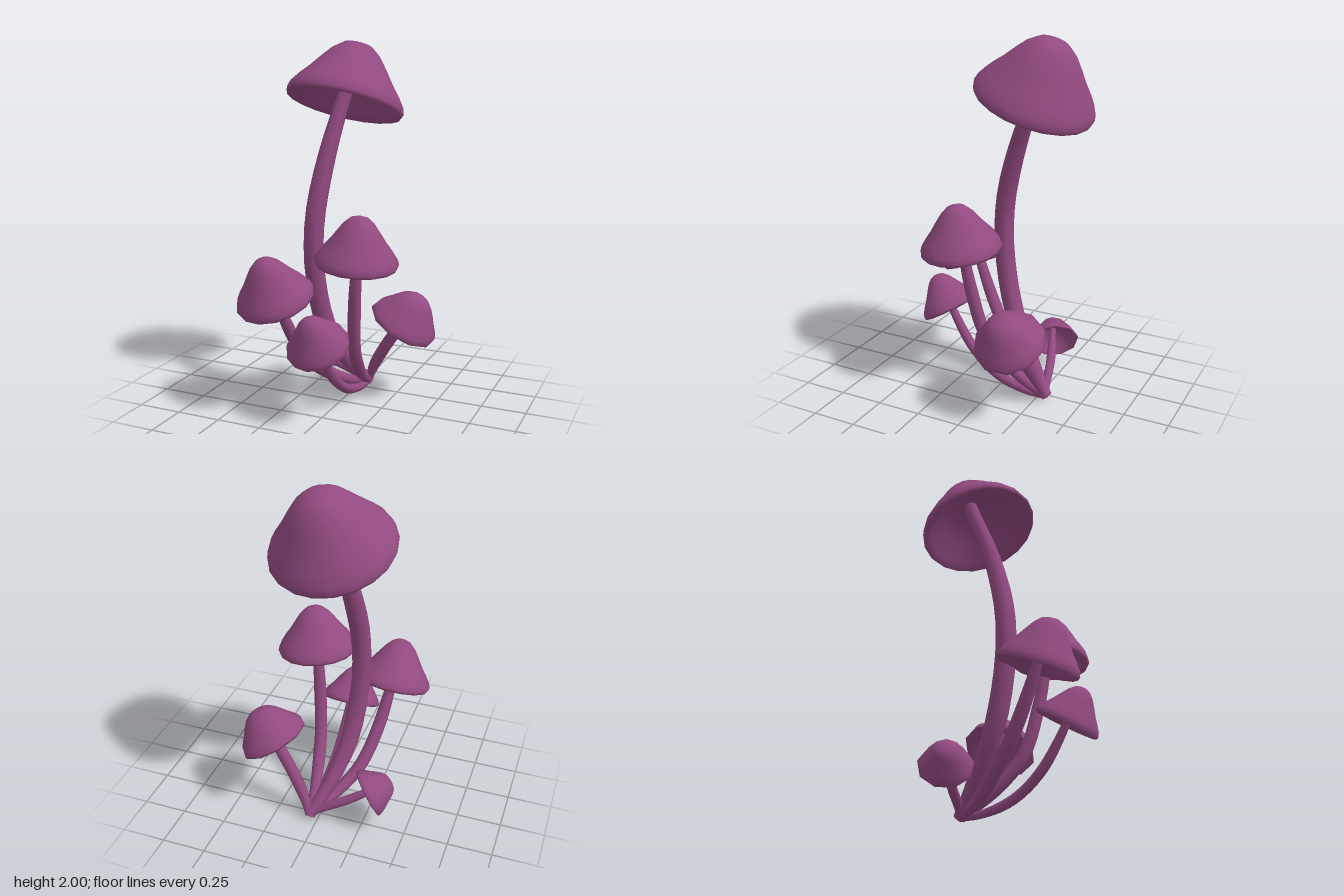
import * as THREE from 'three';

const V = (p) => new THREE.Vector3(...p);
const ROOT = [0.05, 0.032, -0.305];

// Bell profile: [radius, height] fractions, from the inner hollow around the lip to the apex
const BELL = [
  [0, 0.62], [0.3, 0.54], [0.6, 0.31], [0.85, 0.08], [0.97, -0.03],
  [1, 0.03], [0.96, 0.14], [0.84, 0.29], [0.69, 0.45], [0.54, 0.64], [0.39, 0.82], [0.23, 0.95], [0.1, 0.99], [0, 1],
];

// Stem thickness: narrow at the root, full in the middle, slimmer under the cap
function stemRadius(u, full) {
  const root = 0.65 + 0.35 * THREE.MathUtils.smoothstep(u, 0, 0.3);
  const top = 1 - 0.3 * THREE.MathUtils.smoothstep(u, 0.6, 1);
  return full * root * top;
}

// Tube along a curve, each ring scaled to the stem thickness
function stemGeometry(points, full, steps = 20, sides = 8) {
  const curve = new THREE.CatmullRomCurve3(points);
  const geo = new THREE.TubeGeometry(curve, steps, 1, sides, false);
  const pos = geo.attributes.position;
  const p = new THREE.Vector3();
  for (let n = 0; n < pos.count; n++) {
    const u = Math.floor(n / (sides + 1)) / steps;
    const centre = curve.getPointAt(u);
    p.fromBufferAttribute(pos, n).sub(centre).multiplyScalar(stemRadius(u, full)).add(centre);
    pos.setXYZ(n, p.x, p.y, p.z);
  }
  geo.computeBoundingSphere();
  return geo;
}

// Cap from its rim centre along a tilted axis, and a stem bending from the root into the cap.
// A taper below 1 gives a rounder dome.
function mushroom(name, material, { rim, axis, radius, height, taper = 1, sides, stem, bends }) {
  const group = new THREE.Group();
  group.name = name;
  const up = V(axis).normalize();

  const profile = BELL.map(([r, h]) => new THREE.Vector2(r ** taper * radius, h * height));
  const cap = new THREE.Mesh(new THREE.LatheGeometry(profile, sides), material);
  cap.name = 'cap';
  cap.position.set(...rim);
  cap.quaternion.setFromUnitVectors(new THREE.Vector3(0, 1, 0), up);

  const stemTop = V(rim).addScaledVector(up, height * 0.58);
  const stalk = new THREE.Mesh(stemGeometry([V(ROOT), ...bends.map(V), stemTop], stem), material);
  stalk.name = 'stem';

  group.add(cap, stalk);
  return group;
}

export function createModel() {
  const model = new THREE.Group();
  model.name = 'mushroomCluster';
  const plum = new THREE.MeshStandardMaterial({ color: 0x924a80, side: THREE.DoubleSide });
  plum.name = 'plum';

  model.add(mushroom('tallMushroom', plum, {
    rim: [-0.05, 1.665, -0.167], axis: [0.1, 1, -0.38], radius: 0.33, height: 0.35, taper: 0.9, sides: 20, stem: 0.056,
    bends: [[-0.02, 0.16, -0.2], [-0.1, 0.42, -0.04], [-0.135, 0.75, 0.04], [-0.135, 1.05, 0.04], [-0.1, 1.4, -0.05]],
  }));
  model.add(mushroom('middleMushroom', plum, {
    rim: [0.16, 0.865, 0.157], axis: [0.1, 1, 0.07], radius: 0.224, height: 0.258, sides: 16, stem: 0.037,
    bends: [[0.065, 0.12, -0.16], [0.1, 0.33, 0.03], [0.13, 0.6, 0.11]],
  }));
  model.add(mushroom('rightMushroom', plum, {
    rim: [-0.258, 0.65, 0.277], axis: [-0.1, 0.94, 0.36], radius: 0.216, height: 0.258, sides: 14, stem: 0.037,
    bends: [[-0.04, 0.08, -0.16], [-0.15, 0.2, 0], [-0.215, 0.4, 0.15]],
  }));
  model.add(mushroom('frontMushroom', plum, {
    rim: [0.01, 0.435, 0.315], axis: [-0.04, 0.86, 0.5], radius: 0.172, height: 0.205, sides: 14, stem: 0.028,
    bends: [[0.05, 0.035, -0.2], [0.04, 0.09, 0], [0.025, 0.22, 0.17]],
  }));
  model.add(mushroom('leftMushroom', plum, {
    rim: [0.295, 0.445, -0.203], axis: [0.5, 0.85, 0.02], radius: 0.2, height: 0.195, taper: 0.8, sides: 10, stem: 0.034,
    bends: [[0.09, 0.13, -0.275], [0.17, 0.27, -0.245]],
  }));
  model.add(mushroom('smallMushroom', plum, {
    rim: [-0.275, 0.208, -0.213], axis: [-0.72, 0.42, 0.42], radius: 0.142, height: 0.145, taper: 0.75, sides: 9, stem: 0.026,
    bends: [[-0.04, 0.09, -0.275], [-0.14, 0.14, -0.25]],
  }));
  return model;
}
